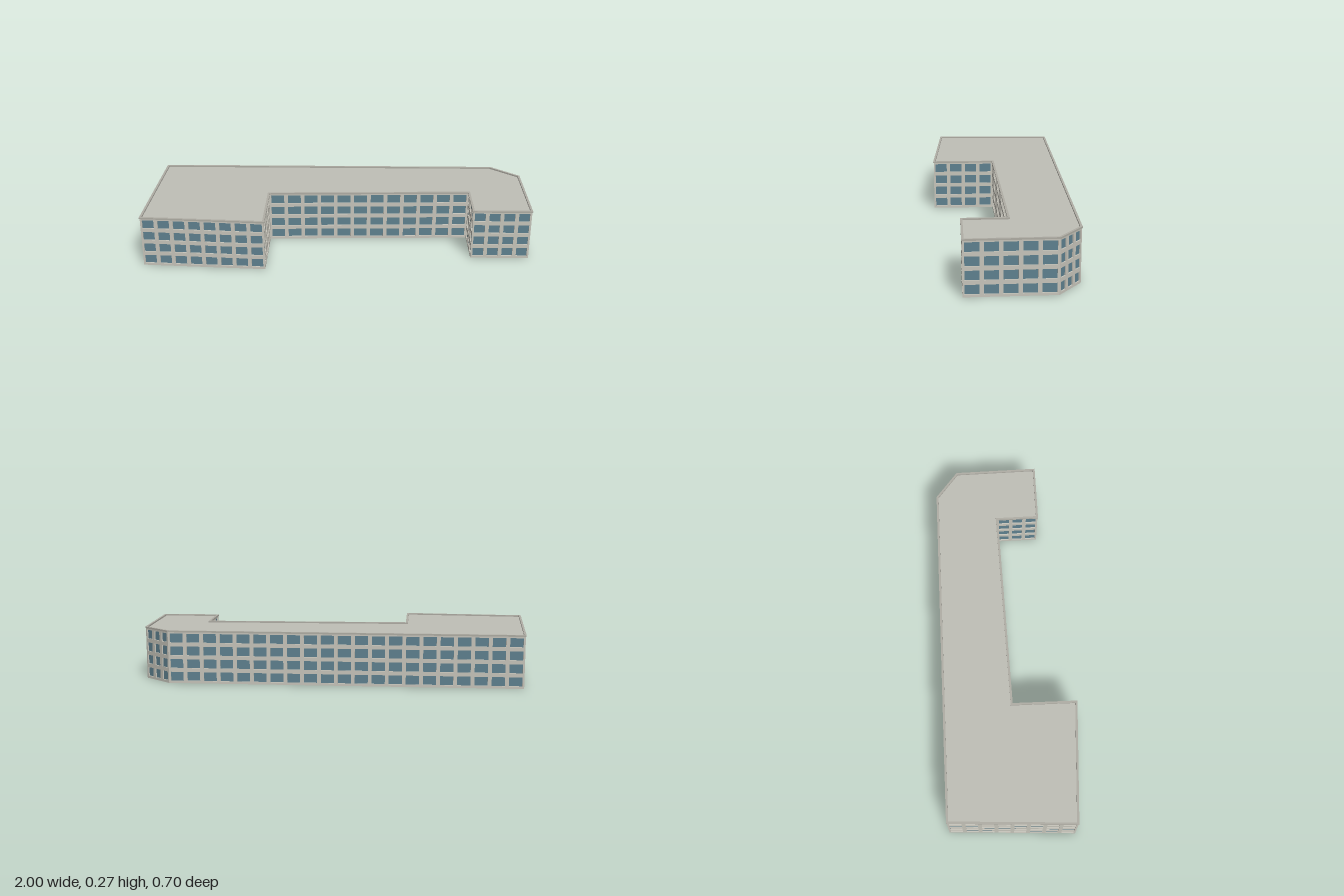
import * as THREE from 'three';

const mat = (name, color, side = THREE.FrontSide) => {
  const m = new THREE.MeshStandardMaterial({ color, side });
  m.name = name;
  return m;
};

// Wall footprint as [x, z], running left to right along the front
const FOOTPRINT = [
  [-0.996, 0.294], [-0.371, 0.347], [-0.36, 0.017], [0.692, 0.017], [0.688, 0.237],
  [0.988, 0.244], [0.993, -0.187], [0.853, -0.304], [-0.943, -0.35],
];
const WALL_H = 0.264, COPING_H = 0.008, THICK = 0.007;
const FLOORS = 4, WIN_H = 0.046, PIER = 0.0195, BAY = 0.0885;

// Footprint moved outward by d (inward if negative), with mitred corners
function offset(points, d) {
  const n = points.length;
  const normal = (a, b) => {
    const dx = b[0] - a[0], dz = b[1] - a[1], l = Math.hypot(dx, dz);
    return [-dz / l, dx / l];
  };
  return points.map((p, i) => {
    const n1 = normal(points[(i + n - 1) % n], p), n2 = normal(p, points[(i + 1) % n]);
    const k = d / (1 + n1[0] * n2[0] + n1[1] * n2[1]);
    return [p[0] + (n1[0] + n2[0]) * k, p[1] + (n1[1] + n2[1]) * k];
  });
}

const toVectors = (points) => points.map(([x, z]) => new THREE.Vector2(x, -z));

const rect = (x, y, w, h) => [
  new THREE.Vector2(x, y), new THREE.Vector2(x + w, y),
  new THREE.Vector2(x + w, y + h), new THREE.Vector2(x, y + h),
];

// One facade: a wall pierced by rows of windows, with panes at the inner face
function facade(a, b, wallMat, glassMat) {
  const dx = b[0] - a[0], dz = b[1] - a[1], length = Math.hypot(dx, dz);
  const bays = Math.ceil(length / BAY), pitch = length / bays, floorH = WALL_H / FLOORS;
  const wall = new THREE.Shape(rect(0, 0, length, WALL_H));
  const panes = [];
  for (let f = 0; f < FLOORS; f++) {
    for (let i = 0; i < bays; i++) {
      const r = rect(i * pitch + PIER / 2, f * floorH + 0.0125, pitch - PIER, WIN_H);
      wall.holes.push(new THREE.Path(r));
      panes.push(new THREE.Shape(r));
    }
  }
  const group = new THREE.Group();
  group.name = 'facade';
  const wallGeo = new THREE.ExtrudeGeometry(wall, { depth: THICK, bevelEnabled: false });
  wallGeo.translate(0, 0, -THICK);
  const wallMesh = new THREE.Mesh(wallGeo, wallMat);
  wallMesh.name = 'wall';
  const glass = new THREE.Mesh(new THREE.ShapeGeometry(panes), glassMat);
  glass.name = 'windowPanes';
  glass.position.z = -THICK + 0.0005;
  group.add(wallMesh, glass);
  group.position.set(a[0], 0, a[1]);
  group.rotation.y = Math.atan2(-dz, dx);
  return group;
}

export function createModel() {
  const wallMat = mat('wall plaster', 0xc8c6bc);
  const glassMat = mat('window glass', 0x5f8290, THREE.DoubleSide);
  const roofMat = mat('roof', 0xbfbfb7, THREE.DoubleSide);
  const copingMat = mat('coping', 0xb0aea5);

  const building = new THREE.Group();
  building.name = 'building';

  // Facades around the footprint
  FOOTPRINT.forEach((p, i) => {
    building.add(facade(p, FOOTPRINT[(i + 1) % FOOTPRINT.length], wallMat, glassMat));
  });

  // Flat roof just inside the coping
  const roofGeo = new THREE.ShapeGeometry(new THREE.Shape(toVectors(offset(FOOTPRINT, -0.002))));
  roofGeo.rotateX(-Math.PI / 2);
  const roof = new THREE.Mesh(roofGeo, roofMat);
  roof.name = 'roof';
  roof.position.y = WALL_H + 0.0005;
  building.add(roof);

  // Raised coping around the roof edge
  const ring = new THREE.Shape(toVectors(offset(FOOTPRINT, 0.003)));
  ring.holes.push(new THREE.Path(toVectors(offset(FOOTPRINT, -0.008))));
  const copingGeo = new THREE.ExtrudeGeometry(ring, { depth: COPING_H, bevelEnabled: false });
  copingGeo.rotateX(-Math.PI / 2);
  const coping = new THREE.Mesh(copingGeo, copingMat);
  coping.name = 'coping';
  coping.position.y = WALL_H;
  building.add(coping);

  return building;
}
